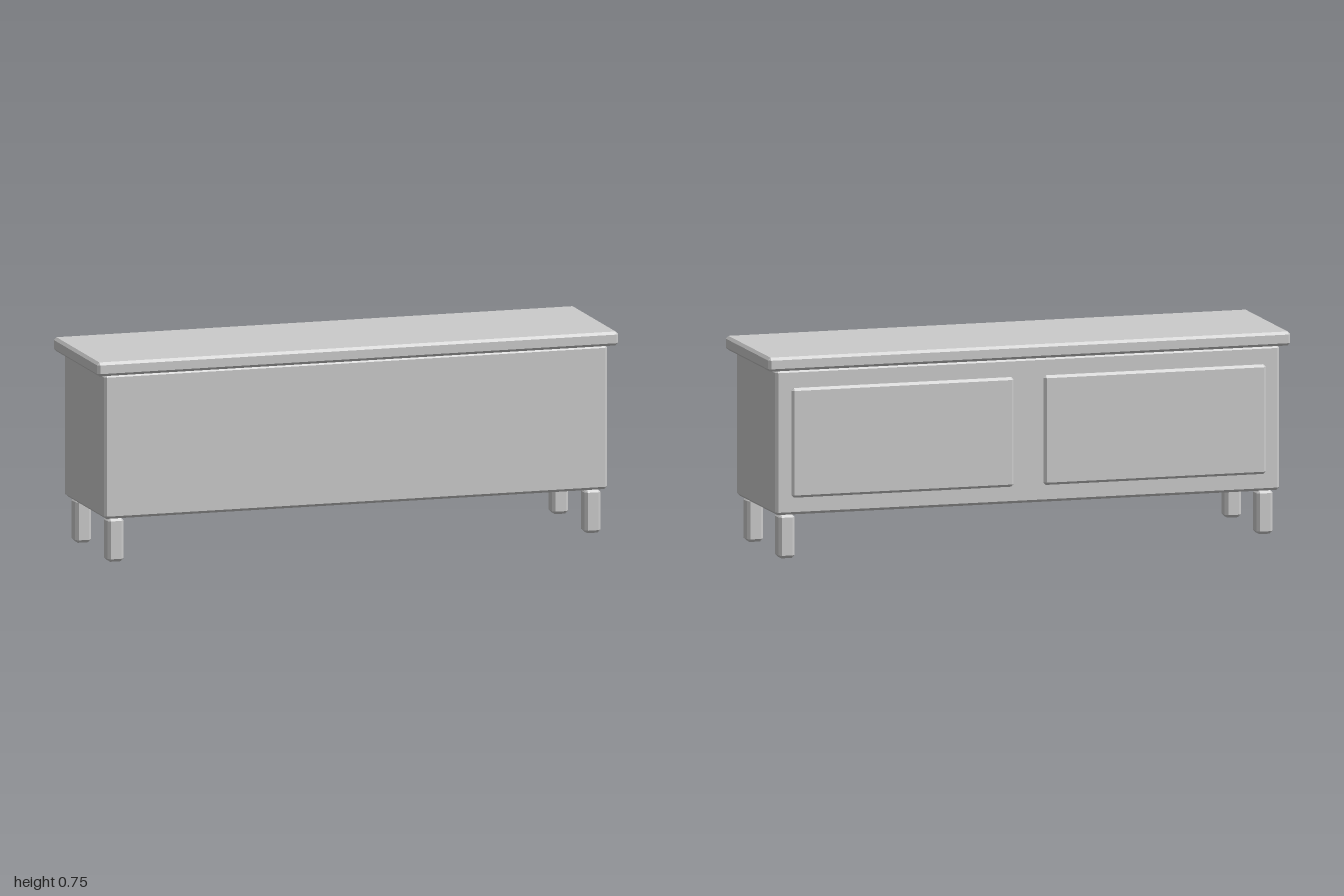
import * as THREE from 'three';
import { ConvexGeometry } from 'three/addons/geometries/ConvexGeometry.js';

const material = new THREE.MeshStandardMaterial({ color: 0xcccccc, flatShading: true });

// Box with every edge cut by a flat chamfer c: each corner becomes three points.
function chamferedBox(w, h, d, c) {
  const points = [];
  for (const sx of [-1, 1]) for (const sy of [-1, 1]) for (const sz of [-1, 1]) {
    const x = w / 2, y = h / 2, z = d / 2;
    points.push(
      new THREE.Vector3(sx * x, sy * (y - c), sz * (z - c)),
      new THREE.Vector3(sx * (x - c), sy * y, sz * (z - c)),
      new THREE.Vector3(sx * (x - c), sy * (y - c), sz * z)
    );
  }
  return new ConvexGeometry(points);
}

export function createModel() {
  const model = new THREE.Group();
  model.name = 'sideboard';

  const add = (name, geometry, x, y, z) => {
    const mesh = new THREE.Mesh(geometry, material);
    mesh.name = name;
    mesh.position.set(x, y, z);
    model.add(mesh);
  };

  // Overhanging top and cabinet body
  add('top', chamferedBox(2, 0.052, 0.536, 0.01), 0, 0.727, 0);
  add('body', chamferedBox(1.93, 0.537, 0.484, 0.01), 0, 0.4325, 0);

  // Two raised door panels on the back face, four short legs
  const panel = chamferedBox(0.851, 0.406, 0.021, 0.0095);
  const leg = chamferedBox(0.062, 0.163, 0.063, 0.011);
  for (const [side, sx] of [['left', 1], ['right', -1]]) {
    add(side + 'DoorPanel', panel, sx * 0.4825, 0.432, -0.2515);
    add(side + 'FrontLeg', leg, sx * 0.915, 0.0815, 0.194);
    add(side + 'BackLeg', leg, sx * 0.915, 0.0815, -0.194);
  }
  return model;
}
